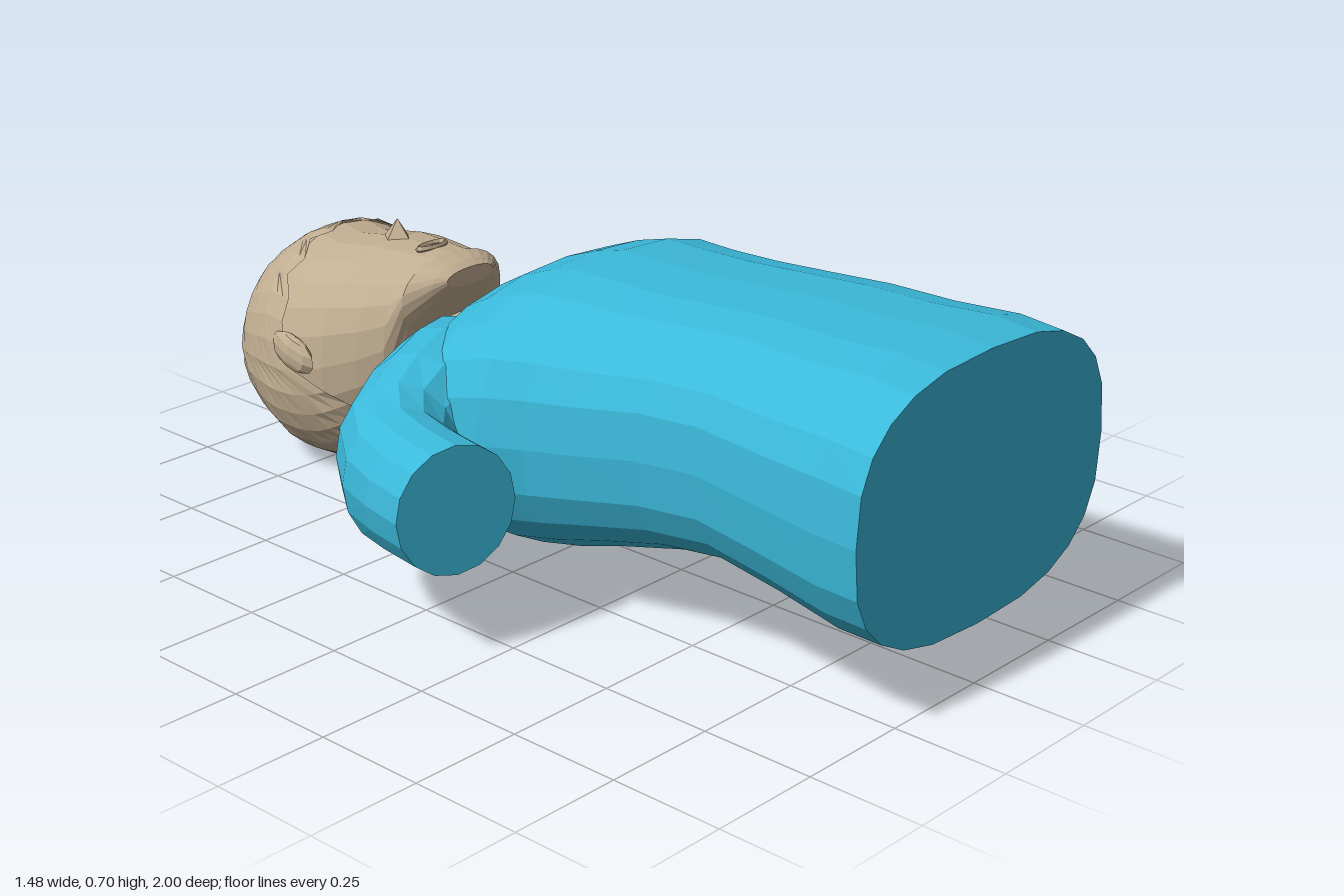
import * as THREE from 'three';

const SHIRT = 0x3bb9da, SKIN = 0xc2ae92;
const mat = (color, side = THREE.FrontSide) =>
  new THREE.MeshStandardMaterial({ color, flatShading: true, side });
const shirt = mat(SHIRT), skin = mat(SKIN), skinThin = mat(SKIN, THREE.DoubleSide), shirtThin = mat(SHIRT, THREE.DoubleSide);

function add(group, name, geometry, material) {
  const mesh = new THREE.Mesh(geometry, material);
  mesh.name = name;
  group.add(mesh);
  return mesh;
}

// Skin over a list of closed rings, with optional end caps
function loft(rings, { start = true, end = true, flip = false } = {}) {
  const n = rings[0].length, pos = rings.flat().flatMap(p => [p.x, p.y, p.z]), idx = [];
  const tri = (a, b, c) => (flip ? idx.push(a, c, b) : idx.push(a, b, c));
  for (let i = 0; i < rings.length - 1; i++) {
    for (let j = 0; j < n; j++) {
      const a = i * n + j, b = i * n + (j + 1) % n;
      tri(a, a + n, b);
      tri(b, a + n, b + n);
    }
  }
  const cap = (first, back) => {
    const c = pos.length / 3, m = new THREE.Vector3();
    rings[first].forEach(p => m.addScaledVector(p, 1 / n));
    pos.push(m.x, m.y, m.z);
    for (let j = 0; j < n; j++) {
      const a = first * n + j, b = first * n + (j + 1) % n;
      back ? tri(c, b, a) : tri(c, a, b);
    }
  };
  if (start) cap(0, false);
  if (end) cap(rings.length - 1, true);
  const g = new THREE.BufferGeometry();
  g.setAttribute('position', new THREE.Float32BufferAttribute(pos, 3));
  g.setIndex(idx);
  g.computeVertexNormals();
  return g;
}

const power = (v, e) => Math.sign(v) * Math.abs(v) ** e;
const angles = n => Array.from({ length: n }, (_, j) => (j / n) * Math.PI * 2);

// Point on a rounded section [z, half width, bottom, top, squareness]
function onSection([z, w, y0, y1, k = 2], a, grow = 0) {
  const x = power(Math.cos(a), 2 / k), y = power(Math.sin(a), 2 / k);
  return new THREE.Vector3((w + grow) * x, (y0 + y1) / 2 + ((y1 - y0) / 2 + grow) * y, z);
}
const ringsOf = (sections, n) => sections.map(s => angles(n).map(a => onSection(s, a)));

// Section between two neighbours in a list that runs towards -z
function sectionAt(list, z) {
  let i = 0;
  while (i < list.length - 2 && list[i + 1][0] > z) i++;
  const t = (z - list[i][0]) / (list[i + 1][0] - list[i][0]);
  return list[i].map((v, k) => v + (list[i + 1][k] - v) * t);
}

// Neckline: high at the sides, dipping at chest and nape
function neckRing(w, y0, y1, lift) {
  return angles(24).map(a => {
    const s = Math.sin(a);
    const p = onSection([0, w, y0, y1, 2], a);
    p.z = -0.345 + (s > 0 ? 0.1 : 0.07) * s * s + lift;
    return p;
  });
}

const TORSO = [
  [1, 0.39, 0.13, 0.69, 2.7], [0.9, 0.39, 0.13, 0.7, 2.7], [0.75, 0.38, 0.16, 0.69, 2.7],
  [0.6, 0.37, 0.18, 0.69, 2.7], [0.45, 0.37, 0.16, 0.68, 2.7], [0.3, 0.39, 0.12, 0.67, 2.6],
  [0.18, 0.4, 0.08, 0.67, 2.5], [0.08, 0.43, 0.06, 0.67, 2.4], [0, 0.44, 0.06, 0.65, 2.3],
  [-0.08, 0.44, 0.07, 0.62, 2.2], [-0.15, 0.42, 0.09, 0.58, 2.2], [-0.21, 0.37, 0.1, 0.53, 2.2],
];

// Sleeve sections: outer x, outer z, inner x, inner z, bottom, top
const SLEEVE = [
  [0.74, 0.18, 0.49, 0.25, 0.19, 0.46], [0.71, 0.06, 0.47, 0.14, 0.18, 0.46],
  [0.66, -0.06, 0.45, 0.06, 0.16, 0.46], [0.57, -0.18, 0.42, 0.04, 0.14, 0.48],
  [0.45, -0.25, 0.37, 0.05, 0.13, 0.51], [0.32, -0.3, 0.3, 0.04, 0.12, 0.53],
  [0.22, -0.34, 0.2, 0, 0.13, 0.52],
];

const HEAD = [
  [-0.37, 0.07, 0.49, 0.53, 2.2], [-0.39, 0.1, 0.45, 0.54, 2.2], [-0.43, 0.15, 0.37, 0.55, 2.2],
  [-0.46, 0.18, 0.17, 0.55, 2.2], [-0.52, 0.21, 0.11, 0.55, 2.2], [-0.6, 0.24, 0.05, 0.55, 2.2],
  [-0.66, 0.24, 0.02, 0.54, 2.2], [-0.72, 0.25, 0.01, 0.53, 2.1], [-0.78, 0.25, 0.01, 0.54, 2.1],
  [-0.85, 0.23, 0.03, 0.51, 2], [-0.91, 0.2, 0.06, 0.47, 2], [-0.96, 0.14, 0.11, 0.4, 2],
  [-0.99, 0.08, 0.18, 0.33, 2], [-1, 0.03, 0.23, 0.28, 2],
];

const NECK = [
  [-0.2, 0.21, 0.15, 0.46], [-0.28, 0.2, 0.16, 0.45], [-0.32, 0.18, 0.17, 0.42],
  [-0.37, 0.15, 0.18, 0.41], [-0.42, 0.14, 0.19, 0.42], [-0.5, 0.15, 0.18, 0.45],
];

// Hair shell running from a jagged hairline to the crown
function hairGeometry() {
  const n = 32, rows = 14, rings = [];
  for (let i = 0; i <= rows; i++) {
    rings.push(angles(n).map((a, j) => {
      const s = Math.sin(a);
      const jag = s > 0.5 ? (j % 2 ? 0.012 : -0.012) : 0;
      const line = s > 0 ? -0.68 - 0.09 * s ** 0.7 + jag : -0.68 + 0.24 * (-s) ** 0.6;
      const z = line + (-1 - line) * (i / rows);
      return onSection(sectionAt(HEAD, z), a, 0.007);
    }));
  }
  return loft(rings, { start: false });
}

export function createModel() {
  const model = new THREE.Group();
  model.name = 'bust';

  // Shirt
  const body = new THREE.Group();
  body.name = 'shirt';
  model.add(body);
  const torsoRings = [...ringsOf(TORSO, 24), neckRing(0.31, 0.11, 0.5, 0.03), neckRing(0.24, 0.13, 0.48, 0)];
  add(body, 'torso', loft(torsoRings, { end: false }), shirt);
  add(body, 'collar', loft([neckRing(0.25, 0.12, 0.49, 0.015), neckRing(0.24, 0.13, 0.48, -0.01),
    neckRing(0.2, 0.16, 0.45, 0.01)], { start: false, end: false }), shirtThin);

  for (const side of [1, -1]) {
    const rings = SLEEVE.map(([ox, oz, ix, iz, y0, y1]) => angles(16).map(a => {
      const c = Math.cos(a);
      return new THREE.Vector3(side * ((ox + ix) / 2 + (ox - ix) / 2 * c),
        (y0 + y1) / 2 + (y1 - y0) / 2 * Math.sin(a), (oz + iz) / 2 + (oz - iz) / 2 * c);
    }));
    add(body, side > 0 ? 'leftSleeve' : 'rightSleeve', loft(rings, { flip: side < 0 }), shirt);
  }

  // Neck and head
  add(model, 'neck', loft(ringsOf(NECK, 16)), skin);
  const head = new THREE.Group();
  head.name = 'head';
  model.add(head);
  add(head, 'skull', loft(ringsOf(HEAD, 24)), skin);
  add(head, 'hair', hairGeometry(), skinThin);

  // Face
  const nose = add(head, 'nose', new THREE.ConeGeometry(1, 0.05, 4), skin);
  nose.scale.set(0.035, 1, 0.045);
  nose.position.set(0, 0.565, -0.6);
  const mouth = add(head, 'mouth', new THREE.TorusGeometry(0.04, 0.008, 4, 12).rotateX(Math.PI / 2), skin);
  mouth.scale.z = 0.35;
  mouth.position.set(0, 0.55, -0.49);

  // Ears
  for (const side of [1, -1]) {
    const ear = add(head, side > 0 ? 'leftEar' : 'rightEar', new THREE.SphereGeometry(1, 8, 6), skin);
    ear.scale.set(0.02, 0.04, 0.07);
    ear.position.set(side * 0.25, 0.32, -0.68);
    ear.rotation.x = 0.3;
  }
  return model;
}
